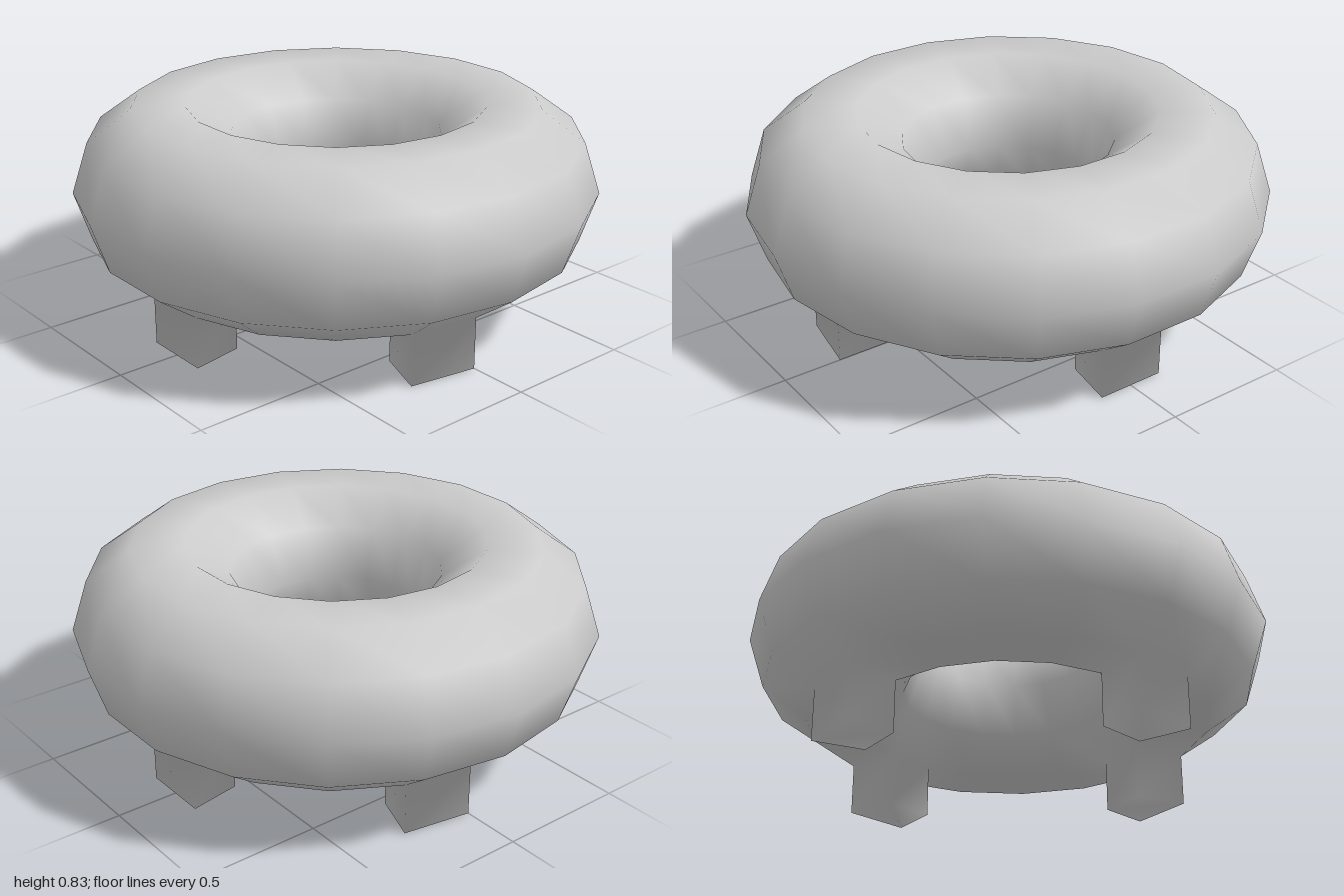
import * as THREE from 'three';

const RING_SIDES = 18, TUBE_SIDES = 10;
const RING_RADIUS = 0.67, TUBE_RADIUS = 0.33, CENTRE_Y = 0.515;
const LEG_SEGMENTS = [0, 4, 9, 13]; // underside panels drawn down into legs
const LEG_PANEL = 7;                // tube panel facing straight down

// Ring and legs form one continuous smooth-shaded skin with shared vertices
function ringWithLegsGeometry() {
  const positions = [], indices = [];
  const addVertex = (x, y, z) => positions.push(x, y, z) / 3 - 1;
  const quad = (a, b, c, d) => indices.push(a, b, c, a, c, d);
  const at = (i, j) => (i % RING_SIDES) * TUBE_SIDES + (j % TUBE_SIDES);

  // Cross-sections around the ring
  for (let i = 0; i < RING_SIDES; i++) {
    const a = (i / RING_SIDES) * Math.PI * 2;
    for (let j = 0; j < TUBE_SIDES; j++) {
      const b = (j / TUBE_SIDES) * Math.PI * 2;
      const r = RING_RADIUS + TUBE_RADIUS * Math.cos(b);
      addVertex(r * Math.cos(a), CENTRE_Y + TUBE_RADIUS * Math.sin(b), r * Math.sin(a));
    }
  }

  for (let i = 0; i < RING_SIDES; i++) {
    for (let j = 0; j < TUBE_SIDES; j++) {
      const top = [at(i, j), at(i, j + 1), at(i + 1, j + 1), at(i + 1, j)];
      if (j !== LEG_PANEL || !LEG_SEGMENTS.includes(i)) {
        quad(...top);
        continue;
      }
      // Leg: four walls down to the floor, closed by a foot
      const foot = top.map((v) => addVertex(positions[v * 3], 0, positions[v * 3 + 2]));
      for (let k = 0; k < 4; k++) {
        const n = (k + 1) % 4;
        quad(top[k], top[n], foot[n], foot[k]);
      }
      quad(...foot);
    }
  }

  const geometry = new THREE.BufferGeometry();
  geometry.setAttribute('position', new THREE.Float32BufferAttribute(positions, 3));
  geometry.setIndex(indices);
  geometry.computeVertexNormals();
  return geometry;
}

export function createModel() {
  const group = new THREE.Group();
  group.name = 'ringOnLegs';
  const material = new THREE.MeshStandardMaterial({ color: 0xcccccc });
  const body = new THREE.Mesh(ringWithLegsGeometry(), material);
  body.name = 'ringBodyWithLegs';
  group.add(body);
  return group;
}
